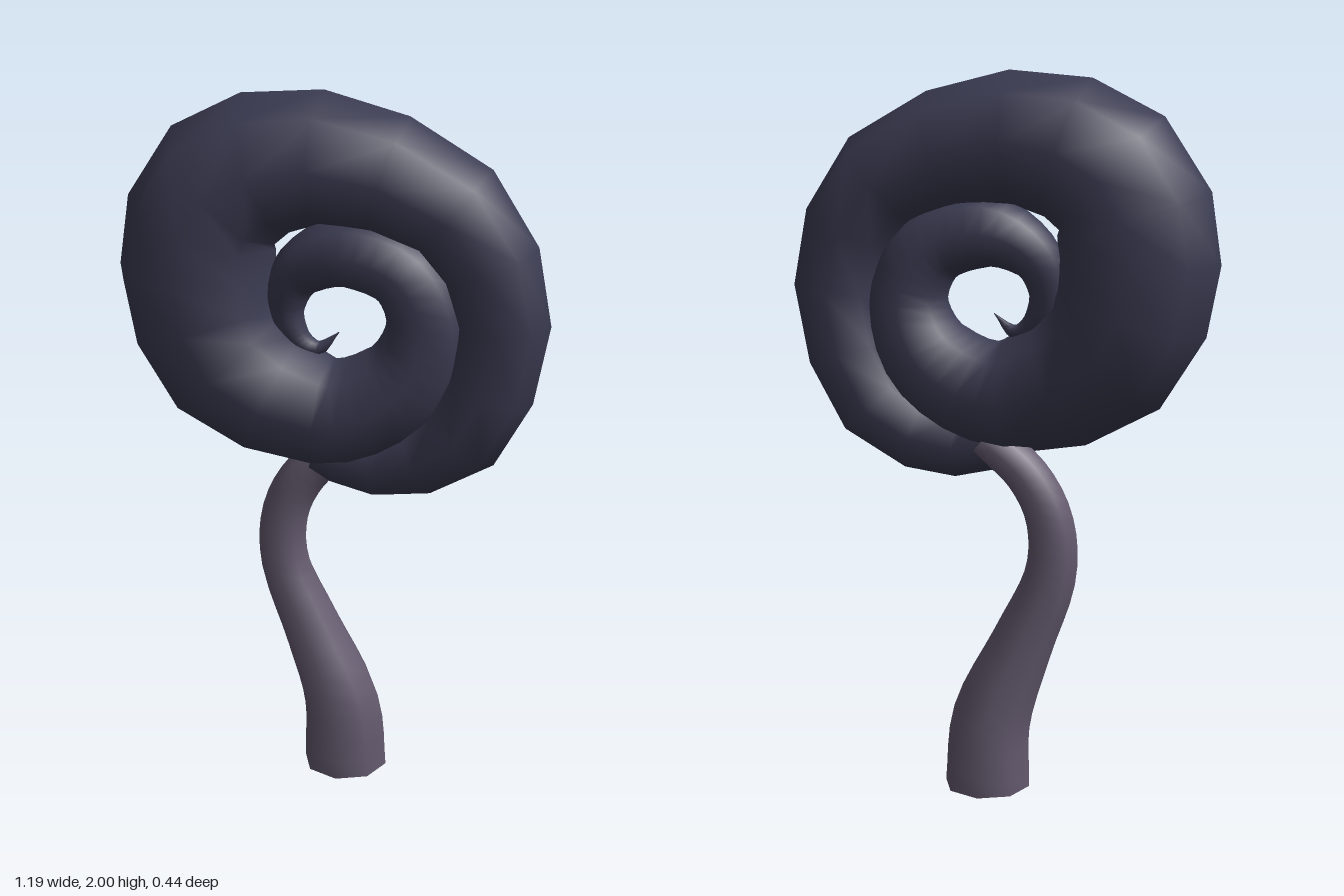
import * as THREE from 'three';

const SIDES = 8;

// Tapered tube along a path in a plane of constant z; stations are [x, y, radius].
function taperedTube(stations, z, params) {
  const curve = new THREE.CatmullRomCurve3(
    stations.map(([x, y]) => new THREE.Vector3(x, y, 0)), false, 'catmullrom', 0.5);
  const radii = new THREE.CatmullRomCurve3(
    stations.map((s) => new THREE.Vector3(s[2], 0, 0)), false, 'catmullrom', 0.5);
  const last = stations.length - 1;
  const pos = [], idx = [];

  // Rings
  params.forEach((p) => {
    const t = p / last;
    const c = curve.getPoint(t), d = curve.getTangent(t);
    const r = Math.max(radii.getPoint(t).x, 0.001);
    for (let k = 0; k < SIDES; k++) {
      const a = (k / SIDES) * Math.PI * 2;
      pos.push(c.x - d.y * r * Math.cos(a), c.y + d.x * r * Math.cos(a), z + r * Math.sin(a));
    }
  });

  // Skin
  for (let i = 0; i < params.length - 1; i++) {
    for (let k = 0; k < SIDES; k++) {
      const n = (k + 1) % SIDES;
      const a = i * SIDES + k, b = i * SIDES + n;
      idx.push(a, b, a + SIDES, b, b + SIDES, a + SIDES);
    }
  }

  // End caps with their own corners, so the rims stay sharp
  [0, params.length - 1].forEach((ring, end) => {
    const base = pos.length / 3;
    for (let k = 0; k < SIDES * 3; k++) pos.push(pos[ring * SIDES * 3 + k]);
    for (let k = 1; k < SIDES - 1; k++) {
      if (end) idx.push(base, base + k, base + k + 1);
      else idx.push(base, base + k + 1, base + k);
    }
  });

  const g = new THREE.BufferGeometry();
  g.setAttribute('position', new THREE.Float32BufferAttribute(pos, 3));
  g.setIndex(idx);
  g.computeVertexNormals();
  return g;
}

export function createModel() {
  const group = new THREE.Group();
  group.name = 'spiralTree';
  const crownMat = new THREE.MeshStandardMaterial({ color: 0x3b3b52 });
  crownMat.name = 'dark indigo';
  const trunkMat = new THREE.MeshStandardMaterial({ color: 0x645a6e });
  trunkMat.name = 'dusty purple';

  // Curled crown: swells through the outer turn, then shrinks to a point inside
  const crown = [
    [-0.03, 1.03, 0.09], [0.12, 0.98, 0.10], [0.355, 1.08, 0.125], [0.465, 1.40, 0.128],
    [0.33, 1.70, 0.15], [-0.03, 1.82, 0.18], [-0.30, 1.73, 0.208], [-0.378, 1.50, 0.22],
    [-0.29, 1.24, 0.205], [-0.02, 1.115, 0.16], [0.19, 1.20, 0.14], [0.265, 1.37, 0.117],
    [0.20, 1.52, 0.108], [0.04, 1.57, 0.10], [-0.09, 1.51, 0.075], [-0.13, 1.41, 0.055],
    [-0.10, 1.325, 0.04], [-0.04, 1.295, 0.022], [0.02, 1.345, 0],
  ];
  const crownSteps = [];
  for (let p = 0; p <= 18; p += p < 9 ? 0.5 : 0.25) crownSteps.push(p);
  const crownMesh = new THREE.Mesh(taperedTube(crown, 0, crownSteps), crownMat);
  crownMesh.name = 'spiralCrown';

  // Bent trunk, set slightly behind the crown
  const trunk = [
    [0.028, 0, 0.122], [0.015, 0.2, 0.112], [-0.07, 0.42, 0.088], [-0.15, 0.62, 0.073],
    [-0.15, 0.78, 0.067], [-0.085, 0.91, 0.063], [0.03, 1.01, 0.058],
  ];
  const trunkSteps = Array.from({ length: 25 }, (_, i) => i / 4);
  const trunkGeo = taperedTube(trunk, -0.053, trunkSteps);
  // Flatten the foot onto the ground
  const p = trunkGeo.attributes.position;
  for (let i = 0; i < p.count; i++) {
    const ring = i < SIDES || (i >= 25 * SIDES && i < 26 * SIDES);
    if (ring) p.setY(i, 0);
  }
  trunkGeo.computeVertexNormals();
  const trunkMesh = new THREE.Mesh(trunkGeo, trunkMat);
  trunkMesh.name = 'trunk';

  group.add(trunkMesh, crownMesh);
  return group;
}
